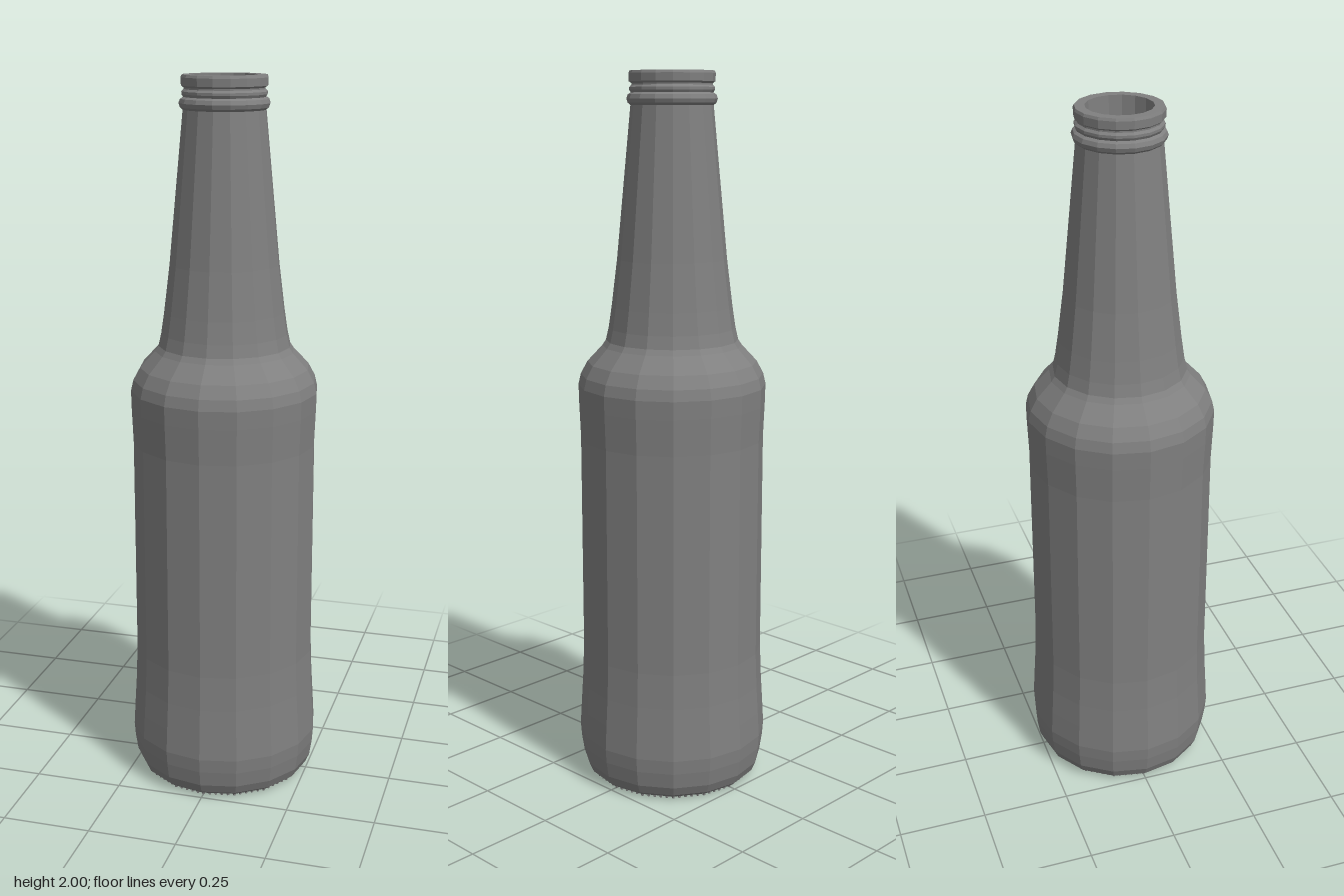
import * as THREE from 'three';
import { mergeGeometries } from 'three/addons/utils/BufferGeometryUtils.js';

const SIDES = 16;

// Sixteen-sided faceted turning from [radius, height] pairs
function turned(name, profile, material) {
  const points = profile.map(([r, y]) => new THREE.Vector2(r, y));
  const geometry = new THREE.LatheGeometry(points, SIDES).toNonIndexed();
  geometry.computeVertexNormals();
  const mesh = new THREE.Mesh(geometry, material);
  mesh.name = name;
  return mesh;
}

export function createModel() {
  const bottle = new THREE.Group();
  bottle.name = 'bottle';
  const glass = new THREE.MeshStandardMaterial({ color: 0x808080 });
  glass.name = 'grey glass';

  // Shallow hollow underneath, rising to the centre
  bottle.add(turned('baseHollow', [[0, 0.04], [0.12, 0.032], [0.19, 0.018], [0.218, 0.006]], glass));

  // Heel, slightly waisted label panel and shoulder
  bottle.add(turned('body', [
    [0.218, 0.006], [0.236, 0.008], [0.248, 0.018], [0.26, 0.045], [0.267, 0.09],
    [0.27, 0.13], [0.266, 0.2], [0.261, 0.28], [0.257, 0.38], [0.257, 1.0],
    [0.261, 1.1], [0.262, 1.15], [0.255, 1.18], [0.236, 1.215], [0.194, 1.26],
  ], glass));

  // Tapering neck
  bottle.add(turned('neck', [
    [0.194, 1.26], [0.184, 1.275], [0.176, 1.31], [0.167, 1.37], [0.151, 1.5], [0.112, 1.91],
  ], glass));

  // Collar bead, thread bead and lip
  bottle.add(turned('mouthRings', [
    [0.112, 1.91], [0.119, 1.916], [0.123, 1.927], [0.119, 1.938], [0.111, 1.943],
    [0.115, 1.95], [0.115, 1.957], [0.109, 1.963], [0.109, 1.967], [0.116, 1.972],
    [0.117, 1.993], [0.114, 2.0], [0.088, 2.0],
  ], glass));

  // Inner wall and slightly raised floor
  bottle.add(turned('innerWall', [
    [0.088, 2.0], [0.086, 1.92], [0.14, 1.36], [0.165, 1.25], [0.225, 1.17],
    [0.23, 0.15], [0.2, 0.07], [0, 0.085],
  ], glass));

  // Knurled ring of small feet around the base
  const count = 80;
  const feet = [];
  for (let i = 0; i < count; i++) {
    const foot = new THREE.CylinderGeometry(0.006, 0.004, 0.012, 5).toNonIndexed();
    foot.translate(0.228, 0.006, 0);
    foot.rotateY((i / count) * Math.PI * 2);
    // Draw the round ring onto the sixteen-sided outline
    const p = foot.attributes.position;
    const step = (Math.PI * 2) / SIDES;
    const a = (i / count) * Math.PI * 2;
    const off = (a % step) - step / 2;
    const k = Math.cos(step / 2) / Math.cos(off);
    for (let j = 0; j < p.count; j++) p.setXYZ(j, p.getX(j) * k, p.getY(j), p.getZ(j) * k);
    foot.computeVertexNormals();
    feet.push(foot);
  }
  const knurl = new THREE.Mesh(mergeGeometries(feet), glass);
  knurl.name = 'baseKnurling';
  bottle.add(knurl);

  return bottle;
}
